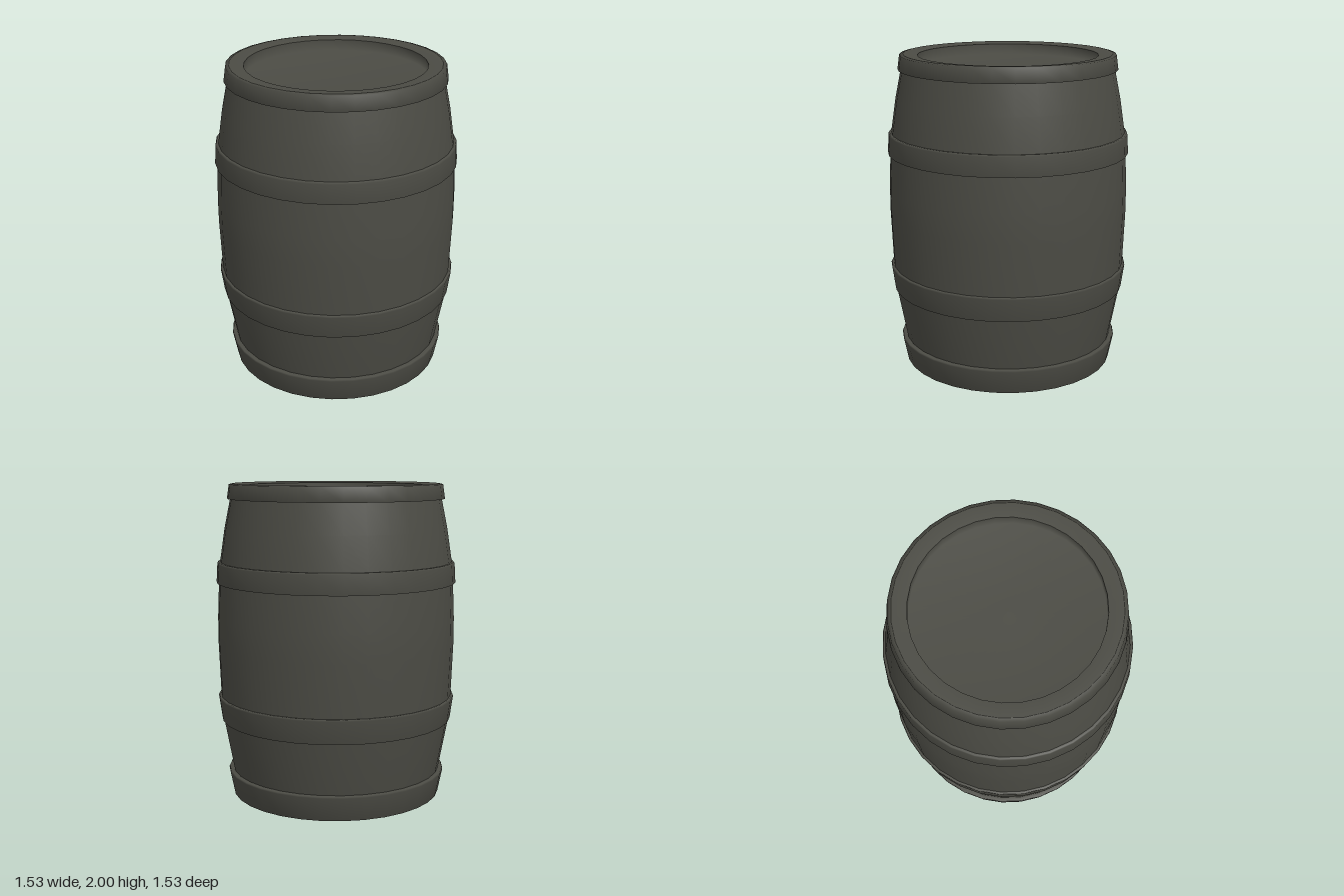
import * as THREE from 'three';

const SIDES = 32;

export function createModel() {
  const group = new THREE.Group();
  group.name = 'barrel';
  const darkGrey = new THREE.MeshStandardMaterial({ color: 0x4b4b44 });
  darkGrey.name = 'dark grey';

  // Turn a profile of [radius, height] points, listed upwards on the outside
  const turn = (name, profile) => {
    const points = profile.map(([r, y]) => new THREE.Vector2(r, y));
    const mesh = new THREE.Mesh(new THREE.LatheGeometry(points, SIDES), darkGrey);
    mesh.name = name;
    group.add(mesh);
  };

  // Bulging body
  turn('body', [
    [0.645, 0.02], [0.675, 0.16], [0.738, 0.5], [0.748, 0.65], [0.76, 0.98],
    [0.76, 1.15], [0.75, 1.38], [0.74, 1.51], [0.708, 1.72], [0.67, 1.905], [0.65, 1.99],
  ]);

  // Two raised hoops around the belly
  turn('lowerHoop', [[0.73, 0.495], [0.745, 0.495], [0.765, 0.64], [0.76, 0.65], [0.74, 0.65]]);
  turn('upperHoop', [[0.745, 1.38], [0.765, 1.38], [0.758, 1.5], [0.752, 1.51], [0.735, 1.51]]);

  // End hoops, rolled over into the rims
  turn('bottomHoop', [[0.645, 0], [0.675, 0], [0.705, 0.15], [0.7, 0.16], [0.67, 0.16]]);
  turn('topHoop', [[0.66, 1.905], [0.69, 1.905], [0.677, 1.995], [0.655, 2]]);
  turn('bottomRim', [[0.6, 0.005], [0.645, 0]]);
  turn('topRim', [[0.665, 1.99], [0.655, 2], [0.565, 1.99]]);

  // Recessed heads
  turn('bottomHead', [[0, 0.08], [0.6, 0.08], [0.6, 0.005]]);
  turn('topHead', [[0.565, 1.99], [0.565, 1.92], [0, 1.92]]);

  return group;
}
